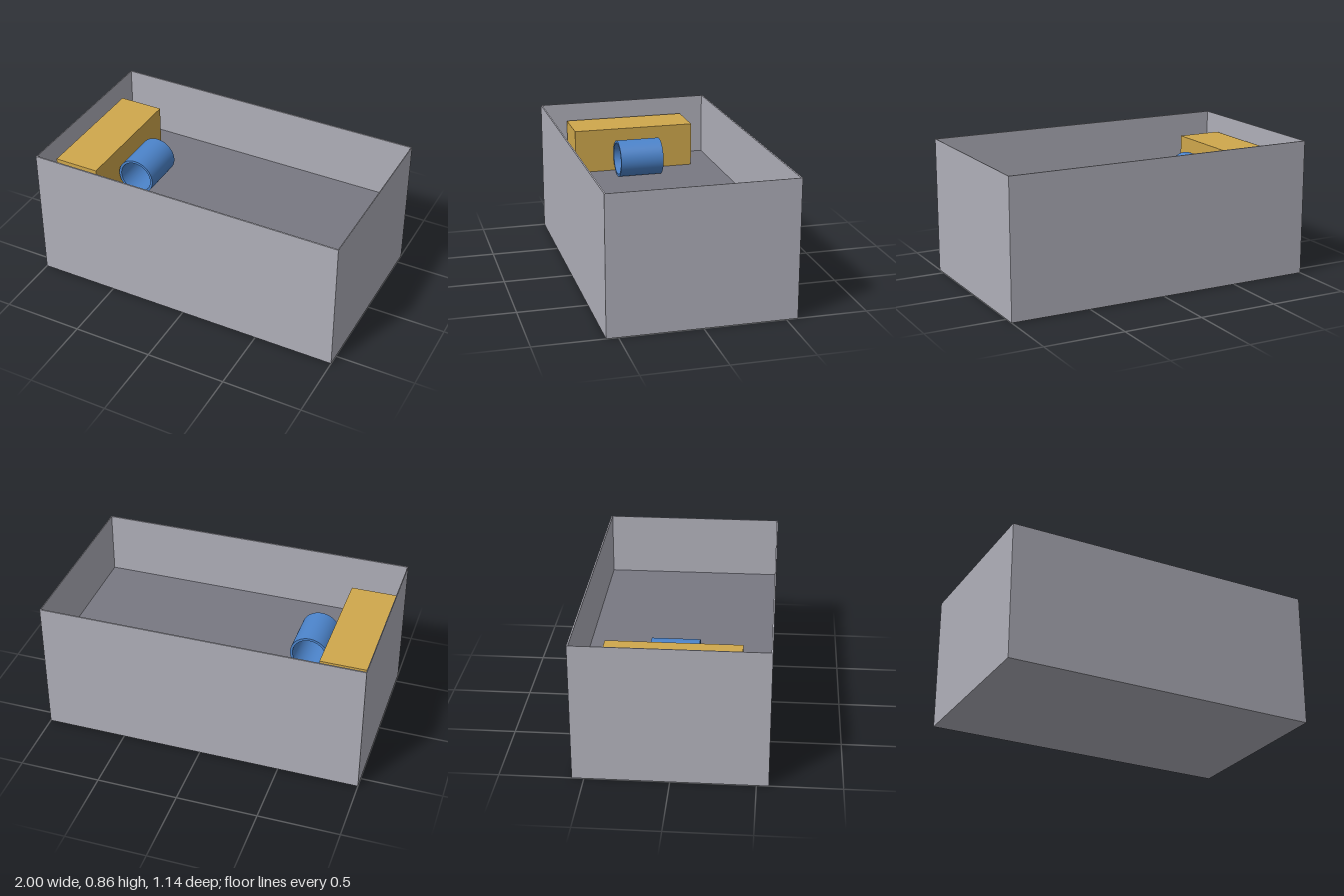
import * as THREE from 'three';

const mat = (name, color) => Object.assign(new THREE.MeshStandardMaterial({ color }), { name });

export function createModel() {
  const group = new THREE.Group();
  const wallGrey = mat('wall grey', 0xb0b0ba);
  const floorGrey = mat('floor grey', 0x787882);
  const ochre = mat('ochre', 0xd0a84c);
  const blue = mat('blue', 0x4c84cb);

  const add = (name, geometry, material, x, y, z) => {
    const mesh = new THREE.Mesh(geometry, material);
    mesh.name = name;
    mesh.position.set(x, y, z);
    group.add(mesh);
    return mesh;
  };
  const box = (name, w, h, d, material, x, y, z) =>
    add(name, new THREE.BoxGeometry(w, h, d), material, x, y, z);

  const H = 0.857, D = 1.143, floorY = 0.457, tx = 0.005, tz = 0.009;

  // Thin outer walls
  for (const s of [-1, 1]) {
    box(s > 0 ? 'frontWall' : 'backWall', 2, H, tz, wallGrey, 0, H / 2, s * (D - tz) / 2);
    box(s > 0 ? 'leftWall' : 'rightWall', tx, H, D - 2 * tz, wallGrey, s * (1 - tx / 2), H / 2, 0);
  }

  // Underside and raised inner floor
  box('underside', 2 - 2 * tx, 0.01, D - 2 * tz, wallGrey, 0, 0.005, 0);
  box('floor', 2 - 2 * tx, 0.01, D - 2 * tz, floorGrey, 0, floorY - 0.005, 0);

  // Long block standing against the end wall
  box('block', 0.286, 0.286, 0.8, ochre, -0.829, floorY + 0.143, 0);

  // Open pipe lying beside the block
  const r = 0.12, ri = 0.104, half = 0.143;
  const rim = [[ri, -half], [r, -half], [r, half], [ri, half], [ri, -half]];
  // Separate profile segments keep the rim edges sharp
  const pipe = new THREE.Group();
  pipe.name = 'pipe';
  for (let i = 0; i < 4; i++) {
    const pts = [rim[i], rim[i + 1]].map(([x, y]) => new THREE.Vector2(x, y));
    const mesh = new THREE.Mesh(new THREE.LatheGeometry(pts, 48), blue);
    mesh.name = ['pipeEnd', 'pipeOuter', 'pipeEnd', 'pipeInner'][i];
    pipe.add(mesh);
  }
  pipe.rotation.x = Math.PI / 2;
  pipe.position.set(-0.56, floorY + r - 0.003, 0);
  group.add(pipe);

  return group;
}
